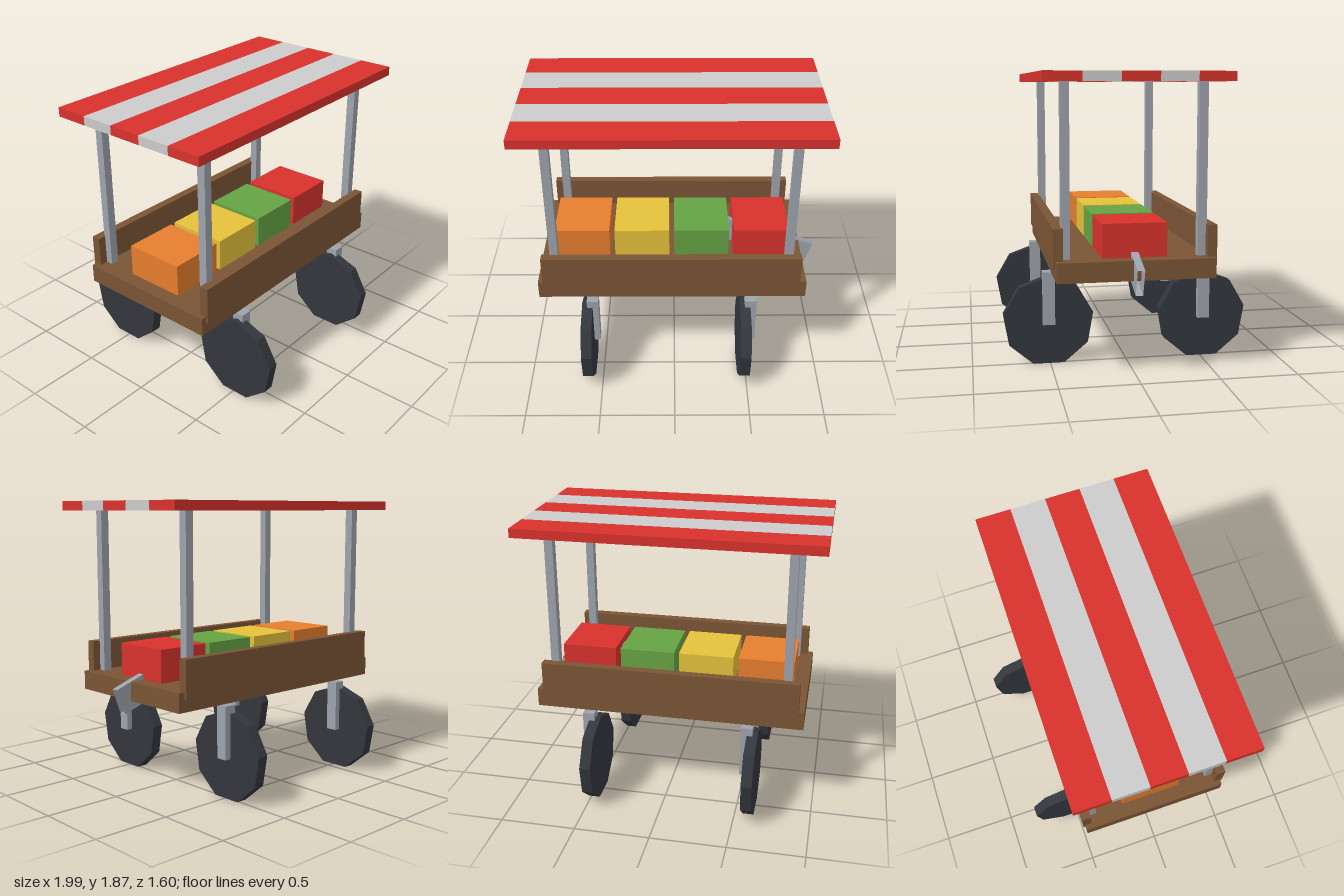
import * as THREE from 'three';

const mat = (color) => new THREE.MeshStandardMaterial({ color, side: THREE.DoubleSide, flatShading: true });

// Box shell without its bottom face, given by its extents
function openBox(name, material, [x0, x1], [y0, y1], [z0, z1]) {
  const geo = new THREE.BoxGeometry(x1 - x0, y1 - y0, z1 - z0);
  geo.setIndex(Array.from(geo.index.array).filter((_, i) => i < 18 || i >= 24));
  geo.clearGroups();
  const mesh = new THREE.Mesh(geo, material);
  mesh.name = name;
  mesh.position.set((x0 + x1) / 2, (y0 + y1) / 2, (z0 + z1) / 2);
  return mesh;
}

export function createModel() {
  const cart = new THREE.Group();
  cart.name = 'marketCart';
  const wood = mat(0x7a5535);
  const metal = mat(0x9ea3ac);
  const rubber = mat(0x33363d);
  const red = mat(0xd8322c);
  const pale = mat(0xcccccc);

  // Deck, hollow underneath
  cart.add(openBox('deck', wood, [-0.915, 0.885], [0.61, 0.735], [-0.495, 0.495]));

  for (const s of [1, -1]) {
    const side = s > 0 ? 'front' : 'back';
    const zSpan = (a, b) => (s > 0 ? [a, b] : [-b, -a]);

    // Side boards
    cart.add(openBox(side + 'Board', wood, [-0.88, 0.84], [0.69, 0.935], zSpan(0.45, 0.51)));

    // Canopy posts
    for (const x of [-0.797, 0.76]) {
      cart.add(openBox(side + 'Post', metal, [x - 0.028, x + 0.028], [0.735, 1.81], zSpan(0.4, 0.456)));
    }

    // Nine-sided wheels, each with a leg beside it
    for (const x of [-0.59, 0.478]) {
      const geo = new THREE.CylinderGeometry(0.295, 0.295, 0.072, 9, 1, false, Math.PI / 2);
      const wheel = new THREE.Mesh(geo.rotateZ(Math.PI / 2), rubber);
      wheel.name = side + 'Wheel';
      wheel.position.set(x, 0.277, s * 0.51);
      cart.add(wheel);
      const leg = x + 0.037;
      cart.add(openBox(side + 'WheelLeg', metal, [leg - 0.039, leg + 0.039], [0.265, 0.61], zSpan(0.471, 0.549)));
    }
  }

  // Row of produce crates
  [0xe67e2e, 0xe5c13a, 0x66a344, 0xd8322c].forEach((color, i) => {
    const x = -0.82 + i * 0.41;
    cart.add(openBox('crate', mat(color), [x, x + 0.375], [0.735, 0.95], [-0.205, 0.205]));
  });

  // Tilted push handle, open at its lower end
  const handle = new THREE.Group();
  handle.name = 'handle';
  handle.add(openBox('handleBar', metal, [-0.088, 0.088], [0, 0.66], [-0.023, 0.023]));
  handle.position.set(0.965, 0.613, 0);
  handle.rotation.z = THREE.MathUtils.degToRad(70.5);
  cart.add(handle);

  // Striped canopy
  for (let i = 0; i < 5; i++) {
    const z = -0.575 + i * 0.23;
    cart.add(openBox('canopyStripe', i % 2 ? pale : red, [-1, 0.97], [1.81, 1.87], [z, z + 0.23]));
  }
  return cart;
}
